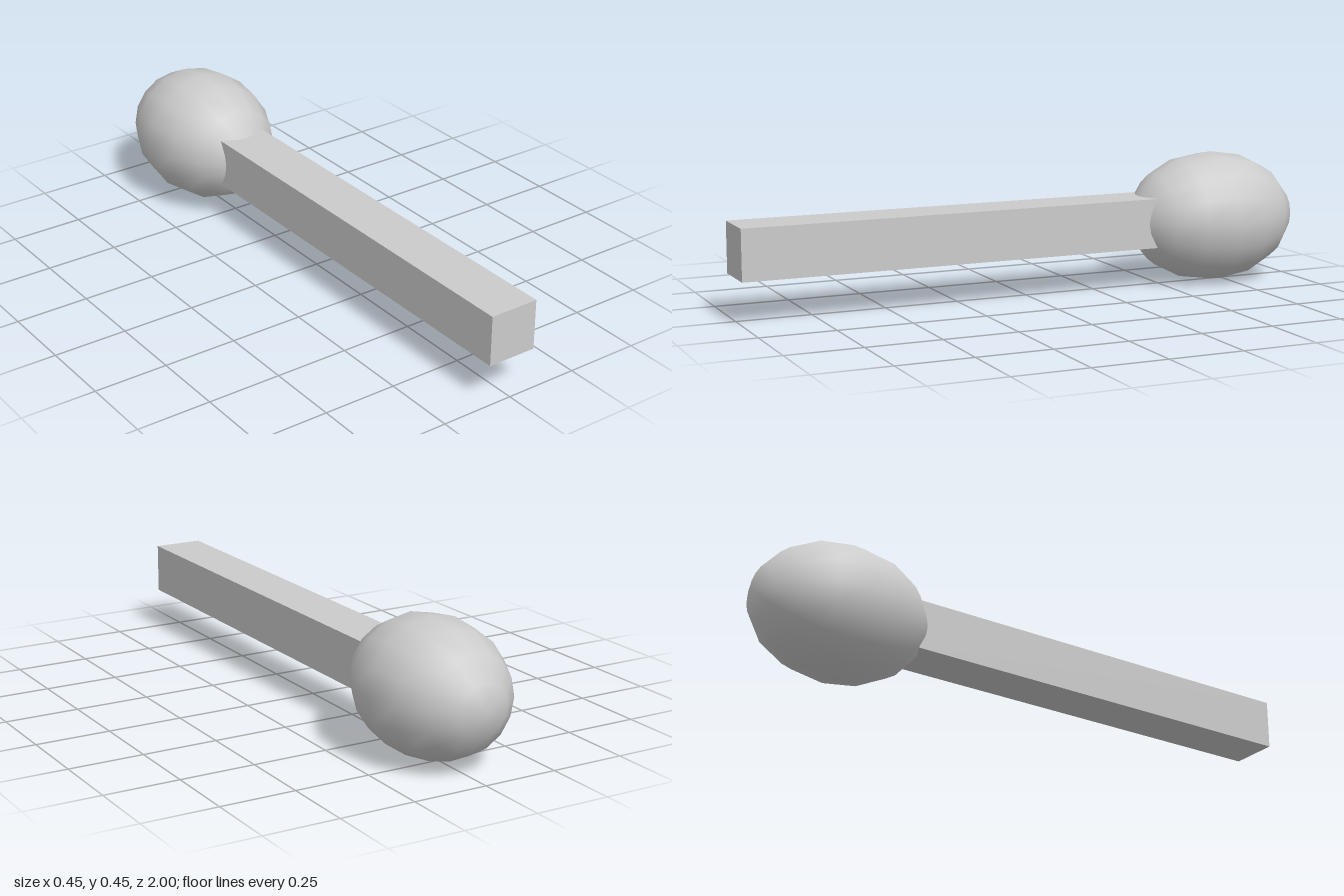
import * as THREE from 'three';

export function createModel() {
  const group = new THREE.Group();
  const material = new THREE.MeshStandardMaterial({ color: 0xcccccc });
  const axisY = 0.224;

  const add = (name, geometry, z) => {
    const mesh = new THREE.Mesh(geometry, material);
    mesh.name = name;
    mesh.position.set(0, axisY, z);
    group.add(mesh);
  };

  // Square stick, its rear end sunk into the head
  const backZ = -0.5, frontZ = 1;
  add('stick', new THREE.BoxGeometry(0.169, 0.169, frontZ - backZ), (frontZ + backZ) / 2);

  // Smooth egg-shaped head, poles along the stick
  const head = new THREE.SphereGeometry(1, 16, 8);
  head.rotateX(Math.PI / 2);
  head.scale(0.224, 0.224, 0.3);
  add('head', head, -0.7);

  return group;
}
